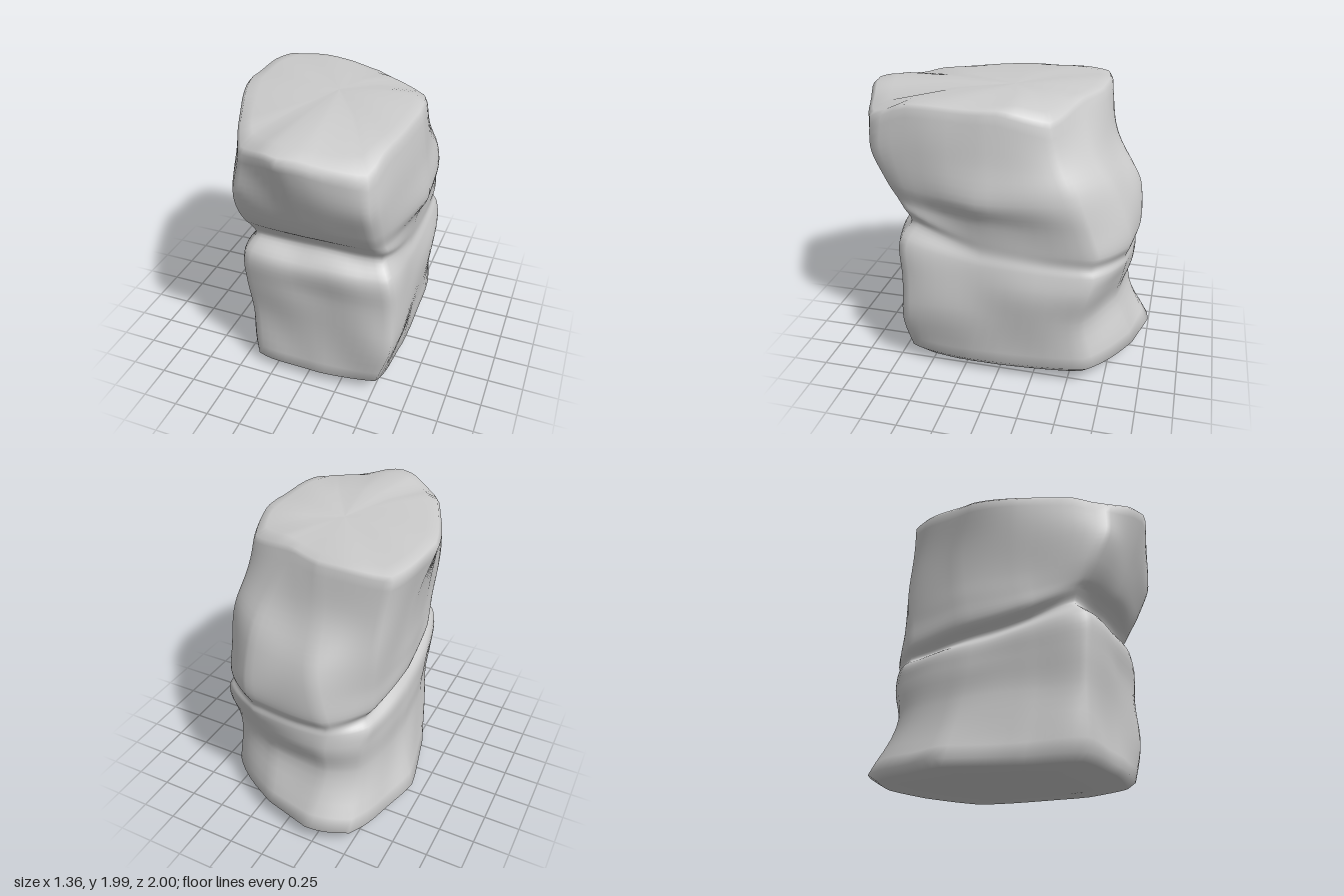
import * as THREE from 'three';

const SEG = 80;   // points around each outline
const STEPS = 5;  // rows between two outlines

// Each outline: [height, sag, x/z pairs from the front -x corner round by +x and the back].
// Sag bends the outline up towards the front, along the seam between the two blocks.
const lowerBlock = [
  [0.06, 0, -.38, .64, .1, .7, .52, .65, .59, .2, .55, -.63, .14, -.92, -.2, -1, -.49, -.9, -.68, -.25, -.57, .25],
  [0.5, 0, -.4, .66, .08, .68, .63, .67, .62, .1, .57, -.58, .17, -.77, -.25, -.81, -.47, -.7, -.56, -.2, -.5, .3],
  [0.74, .04, -.42, .68, .08, .71, .62, .66, .63, .1, .59, -.62, .22, -.82, -.25, -.86, -.49, -.7, -.57, -.15, -.52, .3],
  [0.89, .1, -.42, .68, .05, .74, .58, .66, .61, .1, .56, -.65, .26, -.84, -.27, -.86, -.51, -.66, -.56, -.15, -.52, .3],
];
const seam = [0.97, .17, -.37, .59, .05, .62, .51, .59, .58, .1, .54, -.63, .26, -.83, -.29, -.85, -.47, -.63, -.49, -.15, -.45, .3];
const upperBlock = [
  [1.05, .16, -.39, .63, .05, .67, .53, .63, .58, .1, .55, -.65, .28, -.85, -.28, -.88, -.52, -.63, -.56, -.15, -.51, .3],
  [1.2, .07, -.4, .68, .05, .74, .52, .68, .6, .1, .56, -.6, .3, -.82, -.23, -.87, -.52, -.63, -.57, -.17, -.52, .28],
  [1.38, .02, -.4, .75, .05, .81, .52, .76, .68, .1, .57, -.52, .3, -.75, -.18, -.82, -.53, -.63, -.58, -.2, -.53, .25],
  [1.65, 0, -.37, .83, .03, .91, .51, .84, .64, .1, .54, -.42, .26, -.59, -.15, -.67, -.56, -.61, -.62, -.2, -.55, .25],
  [1.93, 0, -.33, .84, 0, .99, .49, .84, .59, .1, .5, -.34, .16, -.48, -.12, -.59, -.6, -.57, -.67, -.05, -.57, .27],
];

// Closed outline, half way between straight sides and a smooth curve
function outline([y, sag, ...xz]) {
  const pts = [];
  for (let i = 0; i < xz.length; i += 2) {
    const z = xz[i + 1];
    pts.push(new THREE.Vector3(xz[i], y + sag * (0.4 * z + 2 * Math.max(z, 0) ** 2), z));
  }
  const curve = new THREE.CatmullRomCurve3(pts, true);
  return Array.from({ length: SEG }, (_, k) => {
    const t = (k / SEG) * pts.length, i = Math.floor(t);
    const flat = pts[i].clone().lerp(pts[(i + 1) % pts.length], t - i);
    return curve.getPoint(k / SEG).lerp(flat, 0.5);
  });
}

// Copy of a row drawn in towards the middle, nearer to a given height
const inset = (row, s, y, keep) => row.map((p) => new THREE.Vector3(p.x * s, y + (p.y - y) * keep, p.z * s));

function weather(p) {
  const { smoothstep } = THREE.MathUtils;
  // Worn-down corners of the top
  const worn = 0.33 * Math.max(0, p.x - p.z - 0.6)
    + 0.25 * Math.max(0, Math.abs(p.x) - 0.1) * smoothstep(p.z, 0.6, 0.85);
  // Underside rising away from its lowest point
  const rise = 0.04 * Math.max(0, p.x + 0.55) + 0.04 * Math.abs(p.z - 0.3);
  p.y += rise * (1 - smoothstep(p.y, 0.1, 0.6)) - worn * smoothstep(p.y, 1.4, 1.9);
  // Gentle unevenness of the stone
  const n = 0.009 * Math.sin(9 * p.y + 5 * p.x + 3 * p.z) + 0.007 * Math.sin(13 * p.x - 11 * p.z + 6 * p.y);
  p.x *= 1 + n;
  p.z *= 1 + n;
  p.y += 0.6 * n * Math.min(1, Math.max(0, p.y) * 4);
  return p;
}

function stoneGeometry(sections, bottomY, topY) {
  const loops = sections.map(outline);
  const columns = loops[0].map((_, k) => new THREE.CatmullRomCurve3(loops.map((l) => l[k])));
  const count = (loops.length - 1) * STEPS;
  const side = [];
  for (let r = 0; r <= count; r++) side.push(columns.map((c) => c.getPoint(r / count)));

  // Caps rounded over at the rim
  const first = side[0], last = side[count];
  const rows = [
    inset(first, 0.001, bottomY, 0), inset(first, 0.5, bottomY, 0.1), inset(first, 0.93, bottomY, 0.4),
    ...side,
    inset(last, 0.97, topY, 0.55), inset(last, 0.85, topY, 0.3), inset(last, 0.45, topY, 0), inset(last, 0.001, topY, 0),
  ];
  const positions = [], index = [];
  rows.forEach((row, r) => row.forEach((p, k) => {
    positions.push(...weather(p.clone()).toArray());
    if (r === rows.length - 1) return;
    const n = (k + 1) % SEG, a = r * SEG + k, b = r * SEG + n;
    index.push(a, b, b + SEG, a, b + SEG, a + SEG);
  }));
  const geometry = new THREE.BufferGeometry();
  geometry.setAttribute('position', new THREE.Float32BufferAttribute(positions, 3));
  geometry.setIndex(index);
  geometry.computeVertexNormals();
  return geometry;
}

export function createModel() {
  const group = new THREE.Group();
  group.name = 'rock';
  const material = new THREE.MeshStandardMaterial({ color: 0xcccccc });
  const stone = new THREE.Mesh(stoneGeometry([...lowerBlock, seam, ...upperBlock], -0.015, 1.99), material);
  stone.name = 'stone';
  group.add(stone);
  return group;
}
